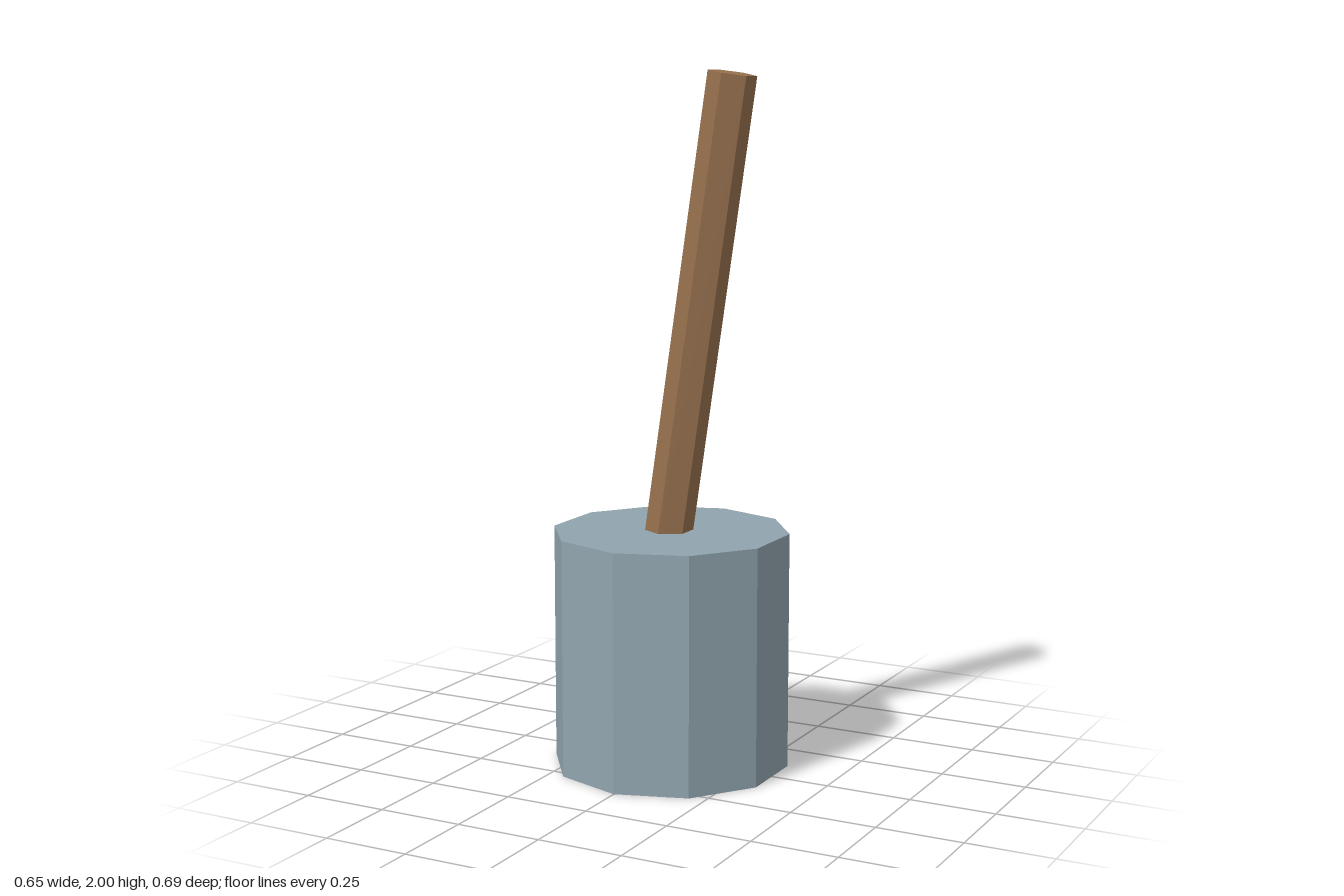
import * as THREE from 'three';

// Faceted prism with one corner facing +z
function prism(name, radius, height, sides, color) {
  const mesh = new THREE.Mesh(
    new THREE.CylinderGeometry(radius, radius, height, sides),
    new THREE.MeshStandardMaterial({ color, flatShading: true })
  );
  mesh.name = name;
  return mesh;
}

export function createModel() {
  const group = new THREE.Group();
  group.name = 'mallet';

  // Ten-sided head standing on the ground
  const headHeight = 0.69;
  const head = prism('head', 0.344, headHeight, 10, 0x90a4ae);
  head.position.y = headHeight / 2;
  group.add(head);

  // Six-sided handle, leaning to the side, its foot sunk into the head
  const tilt = 0.15, length = 1.376;
  const handle = prism('handle', 0.069, length, 6, 0x97714f);
  handle.rotation.z = -tilt;
  handle.position.set(
    0.191 - Math.sin(tilt) * length / 2,
    1.991 - Math.cos(tilt) * length / 2,
    0
  );
  group.add(handle);

  return group;
}
